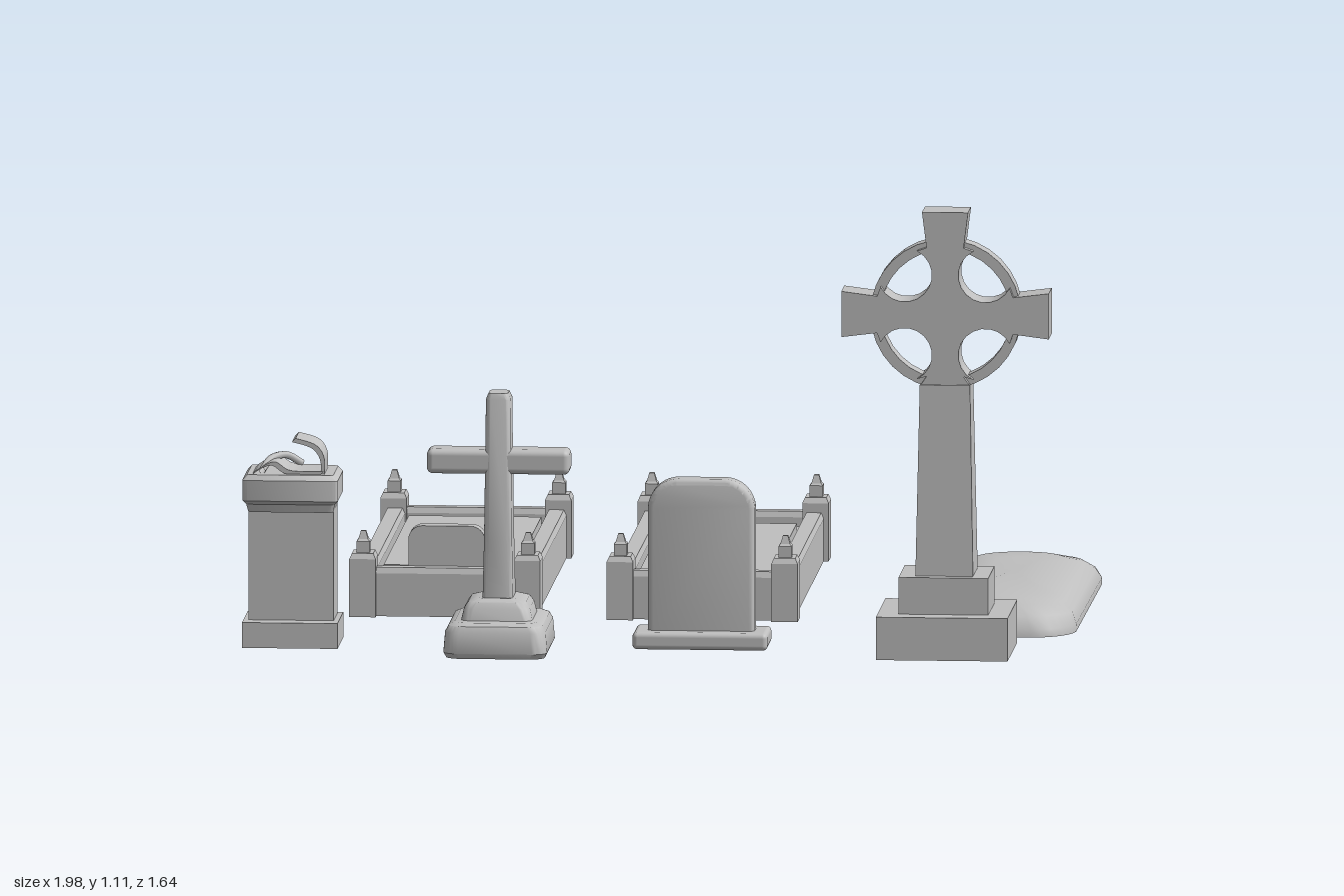
import * as THREE from 'three';
import { toCreasedNormals } from 'three/addons/utils/BufferGeometryUtils.js';
import { RoundedBoxGeometry } from 'three/addons/geometries/RoundedBoxGeometry.js';

// Rounded-rectangle outline in xz; r is the corner radius (0 gives four corners).
function outline(hx, hz, r) {
  const pts = [], steps = r > 0 ? 6 : 0;
  const rad = Math.min(r, hx, hz);
  for (let q = 0; q < 4; q++) {
    const sx = q === 0 || q === 3 ? 1 : -1, sz = q < 2 ? 1 : -1;
    for (let k = 0; k <= steps; k++) {
      const a = (q + (steps ? k / steps : 0.5)) * Math.PI / 2;
      pts.push([sx * (hx - rad) + rad * Math.cos(a), sz * (hz - rad) + rad * Math.sin(a)]);
    }
  }
  return pts;
}

// Stacked sections [y, halfWidth, halfDepth, zShift], capped on top, optionally below.
function loft(sections, r = 0, closed = true, crease = 0.6, bend = null) {
  const pos = [], idx = [];
  const rings = sections.map(([y, hx, hz, dz = 0]) =>
    outline(hx, hz, r).map(([x, z]) => [x, y, z + dz]));
  const n = rings[0].length;
  rings.forEach(ring => ring.forEach(p => pos.push(...p)));
  for (let i = 0; i < rings.length - 1; i++) {
    for (let j = 0; j < n; j++) {
      const a = i * n + j, b = i * n + (j + 1) % n;
      idx.push(a, a + n, b + n, a, b + n, b);
    }
  }
  const cap = (i, up) => {
    const c = pos.length / 3, [y, , , dz = 0] = sections[i];
    pos.push(0, y, dz);
    for (let j = 0; j < n; j++) {
      const a = i * n + j, b = i * n + (j + 1) % n;
      idx.push(c, up ? b : a, up ? a : b);
    }
  };
  cap(rings.length - 1, true);
  if (closed) cap(0, false);
  const g = new THREE.BufferGeometry();
  g.setAttribute('position', new THREE.Float32BufferAttribute(pos, 3));
  g.setIndex(idx);
  if (bend) bend(g.attributes.position);
  return toCreasedNormals(g, crease);
}

function extrude(shape, depth, bevel = 0) {
  const g = new THREE.ExtrudeGeometry(shape, {
    depth: depth - 2 * bevel, curveSegments: 16, bevelEnabled: bevel > 0,
    bevelSize: bevel, bevelThickness: bevel, bevelOffset: -bevel, bevelSegments: 3,
  });
  g.translate(0, 0, -depth / 2 + bevel);
  return toCreasedNormals(g, 0.6);
}

// Upright tablet with rounded upper corners
function tablet(hw, y0, y1, r) {
  const s = new THREE.Shape();
  s.moveTo(-hw, y0).lineTo(hw, y0).lineTo(hw, y1 - r);
  s.absarc(hw - r, y1 - r, r, 0, Math.PI / 2);
  s.absarc(-hw + r, y1 - r, r, Math.PI / 2, Math.PI);
  s.closePath();
  return s;
}

export function createModel() {
  const model = new THREE.Group();
  const stone = new THREE.MeshStandardMaterial({ color: 0xbfbfbf, side: THREE.DoubleSide });
  stone.name = 'grey stone';

  const group = (name, x, z) => {
    const g = new THREE.Group();
    g.name = name;
    g.position.set(x, 0, z);
    model.add(g);
    return g;
  };
  const add = (parent, name, geo, x = 0, y = 0, z = 0) => {
    const m = new THREE.Mesh(geo, stone);
    m.name = name;
    m.position.set(x, y, z);
    parent.add(m);
    return m;
  };
  const box = (w, h, d) => new THREE.BoxGeometry(w, h, d);

  // Tall ringed cross on a stepped, hollow base
  const tall = group('ringedCross', 0.703, 0.648);
  add(tall, 'steppedBaseAndShaft', loft([
    [0.03, 0.16, 0.153], [0.135, 0.16, 0.153], [0.135, 0.109, 0.1], [0.225, 0.109, 0.1],
    [0.225, 0.07, 0.073], [0.69, 0.061, 0.052],
  ], 0, false, 0.1));
  const head = new THREE.Shape();
  const bite = 0.098, br = 0.066, t = Math.asin(0.03 / br);
  for (let k = 0; k < 4; k++) {
    const a = k * Math.PI / 2, c = Math.cos(a), s = Math.sin(a);
    const at = (x, y) => [x * c - y * s, x * s + y * c];
    const down = k === 3;
    const end = down ? 0.172 : 0.252, w = down ? 0.06 : 0.056;
    if (k === 0) head.moveTo(...at(end, -w)); else head.lineTo(...at(end, -w));
    head.lineTo(...at(end, w)).lineTo(...at(down ? 0.15 : 0.165, 0.045));
    for (let i = 0; i <= 12; i++) {
      const b = -t + (-Math.PI * 1.5 + 2 * t) * i / 12 - Math.PI / 4 + Math.PI / 4;
      head.lineTo(...at(bite + br * Math.cos(b), bite + br * Math.sin(b)));
    }
    head.lineTo(...at(0.045, k === 2 ? 0.15 : 0.165));
  }
  head.closePath();
  add(tall, 'crossHead', extrude(head, 0.094), 0, 0.86, 0);
  const ring = new THREE.Shape().absarc(0, 0, 0.183, 0, Math.PI * 2);
  ring.holes.push(new THREE.Path().absarc(0, 0, 0.158, 0, Math.PI * 2, true));
  add(tall, 'crossRing', extrude(ring, 0.056), 0, 0.86, 0);

  // Plain cross with worn, rounded edges
  const plain = group('plainCross', -0.383, 0.657);
  add(plain, 'lowerStep', loft([[0.022, 0.12, 0.15], [0.035, 0.126, 0.157], [0.085, 0.122, 0.153],
    [0.1, 0.114, 0.145], [0.107, 0.1, 0.13]], 0.035, false));
  add(plain, 'upperStep', loft([[0.1, 0.088, 0.098], [0.135, 0.08, 0.09], [0.15, 0.07, 0.08],
    [0.157, 0.05, 0.06]], 0.025, false));
  add(plain, 'shaft', loft([[0.15, 0.037, 0.054], [0.3, 0.034, 0.045], [0.64, 0.03, 0.037],
    [0.655, 0.024, 0.031]], 0.012));
  add(plain, 'crossArm', new RoundedBoxGeometry(0.347, 0.06, 0.08, 3, 0.015), 0, 0.487, 0);
  add(plain, 'footPlaque', new RoundedBoxGeometry(0.05, 0.07, 0.02, 2, 0.008), 0, 0.185, -0.055);

  // Round-shouldered headstone
  const headstone = group('headstone', 0.108, 0.636);
  add(headstone, 'plinth', new RoundedBoxGeometry(0.328, 0.042, 0.146, 3, 0.012), 0, 0.055, 0);
  add(headstone, 'tablet', extrude(tablet(0.13, 0.06, 0.446, 0.075), 0.064, 0.014));

  // Pedestal with doors behind and a curled scroll on top
  const pedestal = group('pedestal', -0.884, 0.663);
  add(pedestal, 'base', box(0.232, 0.062, 0.187), 0, 0.066, 0);
  add(pedestal, 'body', box(0.206, 0.28, 0.13), 0, 0.235, -0.018);
  add(pedestal, 'cap', loft([[0.365, 0.103, 0.074], [0.385, 0.108, 0.08], [0.395, 0.116, 0.094],
    [0.445, 0.116, 0.094], [0.458, 0.105, 0.084]], 0.012));
  for (const s of [-1, 1]) {
    add(pedestal, 'door', box(0.062, 0.2, 0.008), s * 0.034, 0.225, -0.086);
  }
  const strip = pts => {
    const side = d => new THREE.SplineCurve(pts.map(([x, y]) => new THREE.Vector2(x + d, y + d))).getPoints(16);
    return new THREE.Shape([...side(0), ...side(-0.009).reverse()]);
  };
  add(pedestal, 'scrollCurl', extrude(strip([[0.082, 0.455], [0.081, 0.5], [0.06, 0.53], [0.012, 0.545]]), 0.107), 0, 0, 0.01);
  add(pedestal, 'scrollPage', extrude(strip([[0.08, 0.465], [0.0, 0.467], [-0.04, 0.488], [-0.085, 0.465]]), 0.12), 0, 0, 0.008);
  const fold = new THREE.CatmullRomCurve3([[-0.07, 0.465, 0.06], [-0.05, 0.488, 0.01],
    [-0.015, 0.49, -0.03], [0.02, 0.468, -0.045]].map(p => new THREE.Vector3(...p)));
  add(pedestal, 'scrollFold', new THREE.TubeGeometry(fold, 16, 0.009, 8));

  // Kerbed graves: corner posts, rails, ledge and covering slab
  const postGeo = loft([[0.033, 0.032, 0.038], [0.175, 0.032, 0.038], [0.188, 0.026, 0.031],
    [0.188, 0.016, 0.017], [0.215, 0.016, 0.017], [0.22, 0.012, 0.012], [0.24, 0.006, 0.006]], 0, true, 0.1);
  const rail = (hx, hz) => loft([[0.033, hx, hz], [0.138, hx, hz], [0.152, hx - 0.006, hz - 0.006]], 0, true, 0.1);
  const grave = (x, slabBack, slabFront) => {
    const g = group('kerbedGrave', x, -0.297);
    for (const sx of [-1, 1]) {
      for (const sz of [-1, 1]) add(g, 'cornerPost', postGeo, sx * 0.2, 0, sz * 0.489);
      add(g, 'sideRail', rail(0.024, 0.47), sx * 0.196, 0, 0);
      add(g, 'endRail', rail(0.19, 0.021), 0, 0, sx * 0.487);
    }
    add(g, 'ledge', box(0.36, 0.02, 0.95), 0, 0.105, 0);
    add(g, 'slab', box(0.322, 0.045, slabFront - slabBack), 0, 0.115, (slabBack + slabFront) / 2 + 0.297);
    return g;
  };
  const leftGrave = grave(-0.548, -0.725, 0.067);
  grave(0.077, -0.666, 0.131);

  // Small wedge marker, its rear face leaning toward the slab
  const marker = extrude(tablet(0.093, 0.09, 0.25, 0.035), 0.08);
  const mp = marker.attributes.position;
  for (let i = 0; i < mp.count; i++) {
    if (mp.getZ(i) < 0) mp.setZ(i, -0.04 + Math.max(0, mp.getY(i) - 0.15) * 0.42);
  }
  marker.computeVertexNormals();
  add(leftGrave, 'wedgeMarker', marker, 0, 0, 0.43);

  // Low burial mound, gently uneven
  const mound = group('burialMound', 0.797, -0.268);
  add(mound, 'mound', loft([[0, 0.19, 0.485], [0.02, 0.19, 0.482], [0.05, 0.176, 0.462], [0.075, 0.15, 0.425],
    [0.092, 0.11, 0.37], [0.099, 0.055, 0.25], [0.1, 0.02, 0.1]], 0.1, false, 1.2, p => {
    for (let i = 0; i < p.count; i++) {
      const x = p.getX(i), z = p.getZ(i);
      p.setX(i, x * (1.03 - 0.5 * z * z) + 0.006 * Math.sin(z * 9));
      p.setY(i, p.getY(i) * (0.91 + 0.16 * z - 0.1 * z * z + 0.03 * Math.sin(z * 12 + x * 8)));
    }
  }));
  return model;
}
